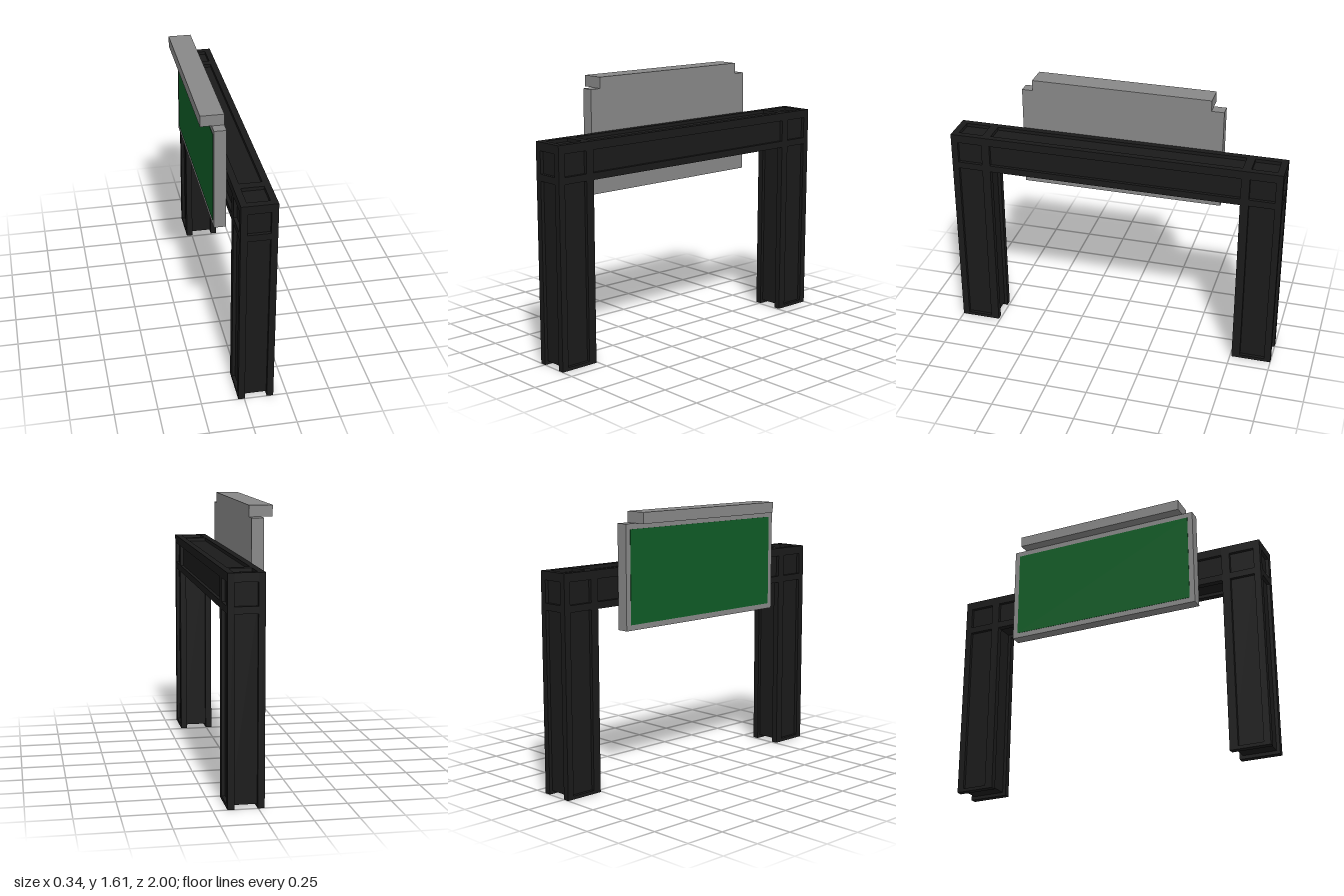
import * as THREE from 'three';

const black = new THREE.MeshStandardMaterial({ color: 0x1a1a1a });
const grey = new THREE.MeshStandardMaterial({ color: 0x888888 });
const green = new THREE.MeshStandardMaterial({ color: 0x0f5c26 });

// Box given by its minimum and maximum along each axis
function box(parent, name, material, [x0, x1], [y0, y1], [z0, z1]) {
  const mesh = new THREE.Mesh(new THREE.BoxGeometry(x1 - x0, y1 - y0, z1 - z0), material);
  mesh.position.set((x0 + x1) / 2, (y0 + y1) / 2, (z0 + z1) / 2);
  mesh.name = name;
  parent.add(mesh);
  return mesh;
}

export function createModel() {
  const model = new THREE.Group();
  model.name = 'gantrySign';

  const X = [-0.035, 0.17];                         // gantry depth
  const sides = [[-0.035, 0.003], [0.132, 0.17]];   // flanges on the two long faces
  const coreX = [-0.015, 0.15];
  const TOP = 1.29, UNDER = 1.07;
  const upper = [1.24, TOP], lower = [UNDER, 1.11];

  // Legs: inset core framed by corner posts, leaving recessed panels
  for (const s of [1, -1]) {
    const leg = new THREE.Group();
    leg.name = s > 0 ? 'frontLeg' : 'backLeg';
    const span = (a, b) => (s > 0 ? [a, b] : [-b, -a]);
    box(leg, 'legCore', black, coreX, [0.02, 1.27], span(0.78, 0.98));
    for (const x of sides) {
      box(leg, 'innerPost', black, x, [0, TOP], span(0.76, 0.81));
      box(leg, 'outerPost', black, x, [0, TOP], span(0.96, 1));
      box(leg, 'footRail', black, x, [0, 0.02], span(0.81, 0.96));
      for (const y of [lower, upper]) box(leg, 'sideRail', black, x, y, span(0.81, 0.96));
    }
    const between = [sides[0][1], sides[1][0]];
    for (const y of [lower, upper]) box(leg, 'endRail', black, between, y, span(0.96, 1));
    box(leg, 'topRail', black, between, upper, span(0.76, 0.81));
    model.add(leg);
  }

  // Crossbeam: inset core with a rail along each edge
  const beam = new THREE.Group();
  beam.name = 'crossbeam';
  box(beam, 'beamCore', black, coreX, [1.09, 1.27], [-0.78, 0.78]);
  for (const x of sides)
    for (const y of [lower, upper]) box(beam, 'edgeRail', black, x, y, [-0.76, 0.76]);
  model.add(beam);

  // Sign board hung on the side of the beam, with a lamp hood above
  const sign = new THREE.Group();
  sign.name = 'sign';
  box(sign, 'signBoard', grey, [-0.105, X[0]], [0.93, 1.54], [-0.61, 0.61]);
  box(sign, 'signFace', green, [-0.107, -0.1], [0.962, 1.508], [-0.578, 0.578]);
  box(sign, 'lampHood', grey, [-0.17, X[0]], [1.54, 1.605], [-0.535, 0.545]);
  model.add(sign);

  return model;
}
